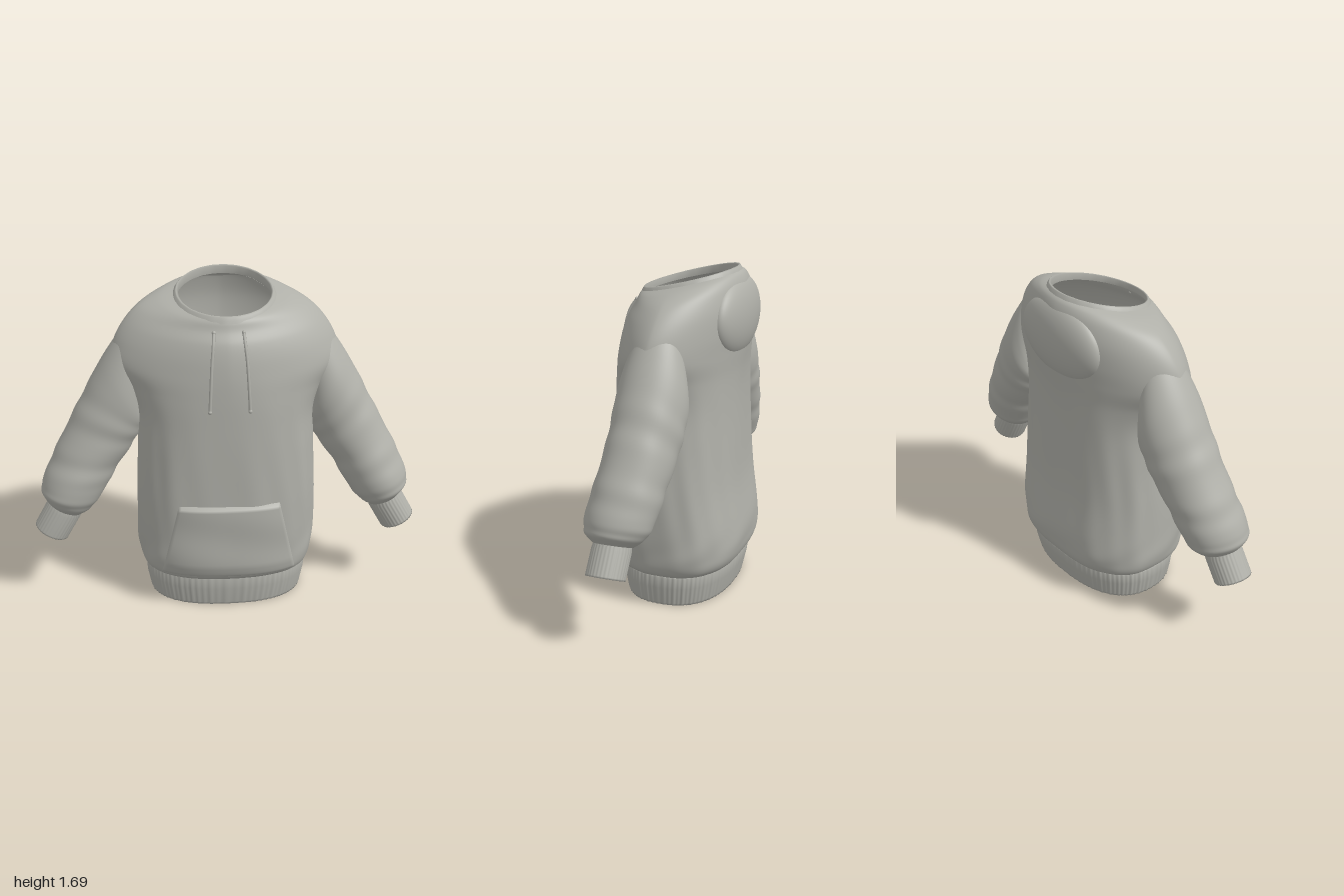
import * as THREE from 'three';

const cloth = new THREE.MeshStandardMaterial({ color: 0xb0b0a9, side: THREE.DoubleSide });
cloth.name = 'grey fabric';

// Smoothly interpolates rows of numbers; u runs from 0 to 1
function sample(rows, u) {
  const f = Math.min(Math.max(u, 0), 1) * (rows.length - 1);
  const i = Math.min(Math.floor(f), rows.length - 2), t = f - i;
  const row = k => rows[Math.min(Math.max(k, 0), rows.length - 1)];
  return rows[0].map((_, c) => {
    const a = row(i - 1)[c], b = row(i)[c], d = row(i + 1)[c], e = row(i + 2)[c];
    return b + 0.5 * t * (d - a + t * (2 * a - 5 * b + 4 * d - e + t * (3 * (b - d) + e - a)));
  });
}

// Skin over rings of points; closed rings wrap around
function loft(name, rings, flip = false, closed = true) {
  const n = rings[0].length, idx = [];
  for (let i = 0; i < rings.length - 1; i++) {
    for (let j = 0; j < (closed ? n : n - 1); j++) {
      const a = i * n + j, b = i * n + (j + 1) % n, c = a + n, d = b + n;
      if (flip) idx.push(a, b, c, b, d, c);
      else idx.push(a, c, b, b, c, d);
    }
  }
  const g = new THREE.BufferGeometry();
  g.setAttribute('position', new THREE.Float32BufferAttribute(rings.flat(2), 3));
  g.setIndex(idx);
  g.computeVertexNormals();
  const mesh = new THREE.Mesh(g, cloth);
  mesh.name = name;
  return mesh;
}

const circle = (n, fn) => Array.from({ length: n }, (_, j) => fn(j / n * Math.PI * 2));
const pw = (v, e) => Math.sign(v) * Math.abs(v) ** e;
const bump = (v, at, width) => Math.exp(-(((v - at) / width) ** 2));

// Torso rows: height, half width, front z, back z, squareness, backward tilt.
// The upper rows spread out over the shoulders to meet the sleeves.
const TORSO = [
  [0.155, 0.405, 0.285, -0.28, 2.5, 0],
  [0.19, 0.44, 0.318, -0.31, 2.6, 0],
  [0.25, 0.458, 0.328, -0.328, 2.6, 0],
  [0.36, 0.464, 0.332, -0.33, 2.6, 0],
  [0.6, 0.463, 0.333, -0.3, 2.6, 0],
  [0.85, 0.452, 0.333, -0.29, 2.5, 0],
  [1.05, 0.45, 0.33, -0.288, 2.35, 0],
  [1.18, 0.5, 0.327, -0.294, 2, 0],
  [1.29, 0.575, 0.32, -0.308, 1.7, 0.01],
  [1.39, 0.558, 0.305, -0.32, 1.65, 0.03],
  [1.48, 0.508, 0.283, -0.322, 1.65, 0.1],
  [1.55, 0.435, 0.25, -0.305, 1.7, 0.18],
  [1.592, 0.34, 0.235, -0.285, 1.85, 0.22],
  [1.612, 0.25, 0.224, -0.262, 2, 0.24],
];

function torsoPoint(u, a) {
  const [y, hw, zf, zb, n, tilt] = sample(TORSO, u);
  const zc = (zf + zb) / 2, c = Math.cos(a), s = Math.sin(a);
  // soft vertical drape and chest folds
  const fade = bump(y, 0.65, 0.4);
  const fold = 1 + fade * (0.008 * Math.sin(9 * a + 2 * y) + 0.005 * Math.sin(17 * a - 5 * y))
    + 0.012 * bump(y, 0.27, 0.08) * Math.sin(7 * a + 14 * y);
  const x = hw * pw(c, 2 / n) * fold;
  const z = zc + (zf - zb) / 2 * pw(s, 2 / n) * fold;
  return [x, y - tilt * z, z];
}

// Ribbed hem or collar band: rows of height, half width, front z, back z, tilt
function band(name, rows, seg, ribs, depth, n) {
  return loft(name, rows.map(([y, hw, zf, zb, tilt]) => circle(seg, a => {
    const r = 1 + depth * (Math.sin(ribs * a) + 0.7 * Math.sin(ribs * 0.5 * a + 1) * Math.sin(5 * a));
    const x = hw * pw(Math.cos(a), 2 / n) * r;
    const z = (zf + zb) / 2 + (zf - zb) / 2 * pw(Math.sin(a), 2 / n) * r;
    return [x, y - tilt * z, z];
  })));
}

// Sleeve rows: upper edge x, y, lower edge x, y, centre z, half depth
const SLEEVE = [
  [0.45, 1.49, 0.43, 1.02, -0.018, 0.13],
  [0.51, 1.45, 0.42, 0.96, -0.018, 0.155],
  [0.604, 1.318, 0.415, 0.95, -0.018, 0.175],
  [0.695, 1.16, 0.43, 0.92, -0.015, 0.177],
  [0.785, 0.99, 0.48, 0.83, -0.005, 0.174],
  [0.875, 0.82, 0.56, 0.72, 0.015, 0.172],
  [0.94, 0.68, 0.63, 0.6, 0.038, 0.17],
  [0.955, 0.6, 0.69, 0.515, 0.05, 0.15],
  [0.925, 0.545, 0.75, 0.47, 0.058, 0.098],
];

// Cuff rows: same layout, outside down, over the rim and back up inside
const CUFF = [
  [0.915, 0.56, 0.755, 0.485, 0.058, 0.088],
  [0.935, 0.525, 0.765, 0.45, 0.06, 0.095],
  [0.995, 0.418, 0.83, 0.337, 0.065, 0.095],
  [0.998, 0.41, 0.835, 0.329, 0.065, 0.094],
  [0.985, 0.404, 0.848, 0.336, 0.065, 0.08],
  [0.975, 0.418, 0.838, 0.352, 0.065, 0.079],
  [0.915, 0.53, 0.775, 0.465, 0.06, 0.079],
];

function armRing([ox, oy, ix, iy, zc, d], side, seg, scale) {
  return circle(seg, a => {
    const k = Math.cos(a) * scale(a), m = Math.sin(a) * scale(a);
    return [side * ((ox + ix) / 2 + (ox - ix) / 2 * k), (oy + iy) / 2 + (oy - iy) / 2 * k, zc + d * m];
  });
}

function addArm(group, side) {
  const label = side > 0 ? 'left' : 'right', rings = [];
  for (let i = 0; i <= 70; i++) {
    const u = i / 70;
    // folds gather at the upper arm, elbow and above the cuff
    const amount = 0.02 * (bump(u, 0.45, 0.08) + bump(u, 0.65, 0.07)) + 0.02 * bump(u, 0.86, 0.06);
    rings.push(armRing(sample(SLEEVE, u), side, 56, a =>
      1 + amount * Math.sin(u * 48 + 1.8 * Math.sin(a + side) + side) + 0.006 * Math.sin(5 * a + 9 * u) * bump(u, 0.65, 0.3)));
  }
  group.add(loft(label + 'Sleeve', rings, side > 0));
  group.add(loft(label + 'Cuff', CUFF.map(r => armRing(r, side, 128, a => 1 + 0.012 * Math.sin(32 * a))), side > 0));

  // drawstring with a small knot at each end
  const pts = [[0.072, 1.505, 0.25], [0.077, 1.45, 0.285], [0.085, 1.37, 0.308], [0.092, 1.25, 0.328], [0.098, 1.13, 0.337]]
    .map(([x, y, z]) => new THREE.Vector3(side * x, y, z));
  const cord = new THREE.Mesh(new THREE.TubeGeometry(new THREE.CatmullRomCurve3(pts), 32, 0.008, 8), cloth);
  cord.name = label + 'Drawstring';
  group.add(cord);
  for (const p of [pts[0], pts[4]]) {
    const knot = new THREE.Mesh(new THREE.SphereGeometry(0.0105, 12, 8), cloth);
    knot.position.copy(p);
    knot.name = label + 'DrawstringEnd';
    group.add(knot);
  }
}

// Front surface of the lower torso at a given x and y
function frontZ(x, y) {
  let lo = 0, hi = 1;
  for (let i = 0; i < 24; i++) {
    const mid = (lo + hi) / 2;
    if (sample(TORSO, mid)[0] < y) lo = mid; else hi = mid;
  }
  const [, hw, zf, zb, n] = sample(TORSO, lo);
  return (zf + zb) / 2 + (zf - zb) / 2 * (1 - Math.min(Math.abs(x) / hw, 1) ** n) ** (1 / n);
}

export function createModel() {
  const group = new THREE.Group();
  group.name = 'hoodedSweater';

  // torso with shoulder yoke
  const rings = [];
  for (let i = 0; i <= 104; i++) rings.push(circle(128, a => torsoPoint(i / 104, a)));
  group.add(loft('torso', rings));

  // ribbed hem, open underneath
  group.add(band('hem', [
    [0.172, 0.41, 0.285, -0.28, 0], [0.16, 0.424, 0.295, -0.293, 0], [0.1, 0.42, 0.293, -0.285, 0],
    [0.012, 0.402, 0.28, -0.265, 0], [0, 0.399, 0.277, -0.262, 0], [0, 0.385, 0.263, -0.248, 0],
    [0.012, 0.383, 0.261, -0.246, 0], [0.165, 0.4, 0.275, -0.273, 0],
  ].reverse(), 320, 80, 0.005, 2.4));

  // collar band around the neck opening
  group.add(band('collar', [
    [1.595, 0.265, 0.235, -0.275, 0.23], [1.61, 0.256, 0.229, -0.267, 0.24], [1.624, 0.246, 0.222, -0.26, 0.25],
    [1.629, 0.24, 0.217, -0.255, 0.25], [1.625, 0.231, 0.21, -0.246, 0.25], [1.59, 0.235, 0.212, -0.25, 0.23],
  ], 96, 24, 0.002, 2));

  // hood lying flat on the upper back
  const hood = new THREE.Mesh(new THREE.SphereGeometry(1, 40, 28, 0, Math.PI), cloth);
  hood.scale.set(0.28, 0.2, 0.09);
  hood.rotation.y = Math.PI;
  hood.position.set(0, 1.45, -0.253);
  hood.name = 'hood';
  group.add(hood);

  // kangaroo pocket: slanted sides, rolled onto the torso at every edge
  const pocket = [];
  for (let i = 0; i <= 28; i++) {
    const v = i / 28, y = 0.185 + 0.425 * v, half = 0.35 - 0.095 * v, row = [];
    for (let j = 0; j <= 40; j++) {
      const s = Math.min(Math.max((j - 1) / 19 - 1, -1), 1), x = -s * half;
      const edge = j === 0 || j === 40 || i === 0 || i === 28;
      const lift = edge ? -0.012 : 0.018 * Math.min(1, 0.3 + 4 * v) + 0.003 * Math.sin(9 * v + 5 * x);
      row.push([x, i === 28 ? 0.612 : y, frontZ(x, y) + lift]);
    }
    pocket.push(row);
  }
  group.add(loft('pocket', pocket, false, false));

  for (const side of [1, -1]) addArm(group, side);
  return group;
}
